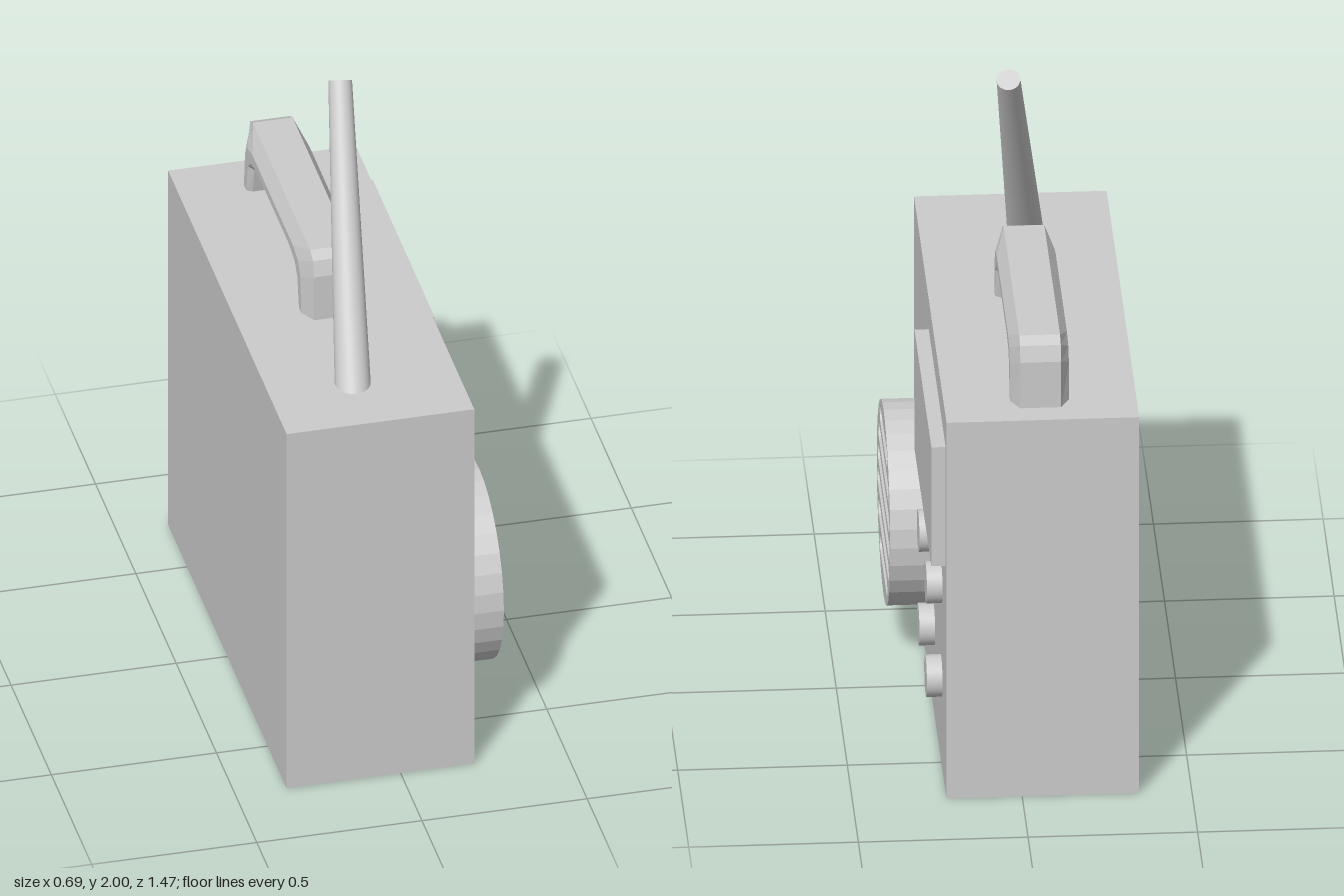
import * as THREE from 'three';

const grey = new THREE.MeshStandardMaterial({ color: 0xcccccc });
const FACE = 0.223; // x of the panel carrying the controls

function add(group, name, geometry, x = 0, y = 0, z = 0) {
  const mesh = new THREE.Mesh(geometry, grey);
  mesh.name = name;
  mesh.position.set(x, y, z);
  group.add(mesh);
  return mesh;
}

// Round speaker disc pierced by rounded slots
function speakerGeometry(radius, depth) {
  const shape = new THREE.Shape();
  const sides = 32;
  for (let i = 0; i < sides; i++) {
    const a = (i / sides) * Math.PI * 2;
    const p = [radius * Math.cos(a), radius * Math.sin(a)];
    if (i) shape.lineTo(...p); else shape.moveTo(...p);
  }
  shape.closePath();
  const r = 0.028;
  [0.172, 0.235, 0.262, 0.278, 0.239, 0.172].forEach((half, i) => {
    const y = 0.219 - i * 0.085;
    const slot = new THREE.Path();
    slot.moveTo(-half + r, y - r);
    slot.lineTo(half - r, y - r);
    slot.absarc(half - r, y, r, -Math.PI / 2, Math.PI / 2, false);
    slot.lineTo(-half + r, y + r);
    slot.absarc(-half + r, y, r, Math.PI / 2, Math.PI * 1.5, false);
    shape.holes.push(slot);
  });
  return new THREE.ExtrudeGeometry(shape, { depth, bevelEnabled: false, curveSegments: 6 })
    .rotateY(Math.PI / 2);
}

// Faceted arch: one bevelled section swept between an inner and an outer outline
function handleGeometry() {
  // [outer z, outer y, inner z, inner y], mirrored for the far leg
  const half = [
    [0.405, 1.23, 0.318, 1.23], [0.405, 1.39, 0.292, 1.33],
    [0.39, 1.438, 0.255, 1.36], [0.355, 1.455, 0.17, 1.375],
  ];
  const stations = [...half, ...half.map(([a, b, c, d]) => [-a, b, -c, d]).reverse()];
  // [x, position from inner (0) to outer (1)]
  const section = [[0.07, 0], [0.087, 0.12], [0.087, 0.45], [0.06, 1],
    [-0.06, 1], [-0.087, 0.45], [-0.087, 0.12], [-0.07, 0]];
  const rings = stations.map(([oz, oy, iz, iy]) =>
    section.map(([x, t]) => [x, iy + (oy - iy) * t, iz + (oz - iz) * t]));
  const positions = [];
  const n = section.length;
  for (let s = 0; s < rings.length - 1; s++) {
    for (let k = 0; k < n; k++) {
      const a = rings[s][k], b = rings[s][(k + 1) % n];
      const c = rings[s + 1][(k + 1) % n], d = rings[s + 1][k];
      positions.push(...a, ...d, ...b, ...b, ...d, ...c);
    }
  }
  const geometry = new THREE.BufferGeometry();
  geometry.setAttribute('position', new THREE.Float32BufferAttribute(positions, 3));
  geometry.computeVertexNormals();
  return geometry;
}

export function createModel() {
  const radio = new THREE.Group();
  radio.name = 'radio';

  add(radio, 'body', new THREE.BoxGeometry(0.568, 1.24, 1.47), -0.061, 0.62, 0);
  add(radio, 'displayPanel', new THREE.BoxGeometry(0.042, 0.392, 0.765), FACE + 0.021, 0.944, -0.3125);
  add(radio, 'speaker', speakerGeometry(0.305, 0.117), FACE, 0.447, 0.318);

  // Control knobs
  for (const y of [0.285, 0.594]) {
    for (const z of [-0.16, -0.495]) {
      const knob = new THREE.CylinderGeometry(0.063, 0.063, 0.046, 32).rotateZ(-Math.PI / 2);
      add(radio, 'knob', knob, FACE + 0.023, y, z);
    }
  }

  add(radio, 'handle', handleGeometry(), -0.06, 0, -0.25);

  // Tapered aerial leaning back, its foot sunk into the body
  const foot = new THREE.Vector3(-0.098, 1.165, 0.557);
  const tip = new THREE.Vector3(-0.009, 1.98, 0.022);
  const axis = tip.clone().sub(foot);
  const centre = foot.clone().add(tip).multiplyScalar(0.5);
  const aerial = add(radio, 'aerial',
    new THREE.CylinderGeometry(0.035, 0.055, axis.length(), 32), centre.x, centre.y, centre.z);
  aerial.quaternion.setFromUnitVectors(new THREE.Vector3(0, 1, 0), axis.normalize());

  return radio;
}
